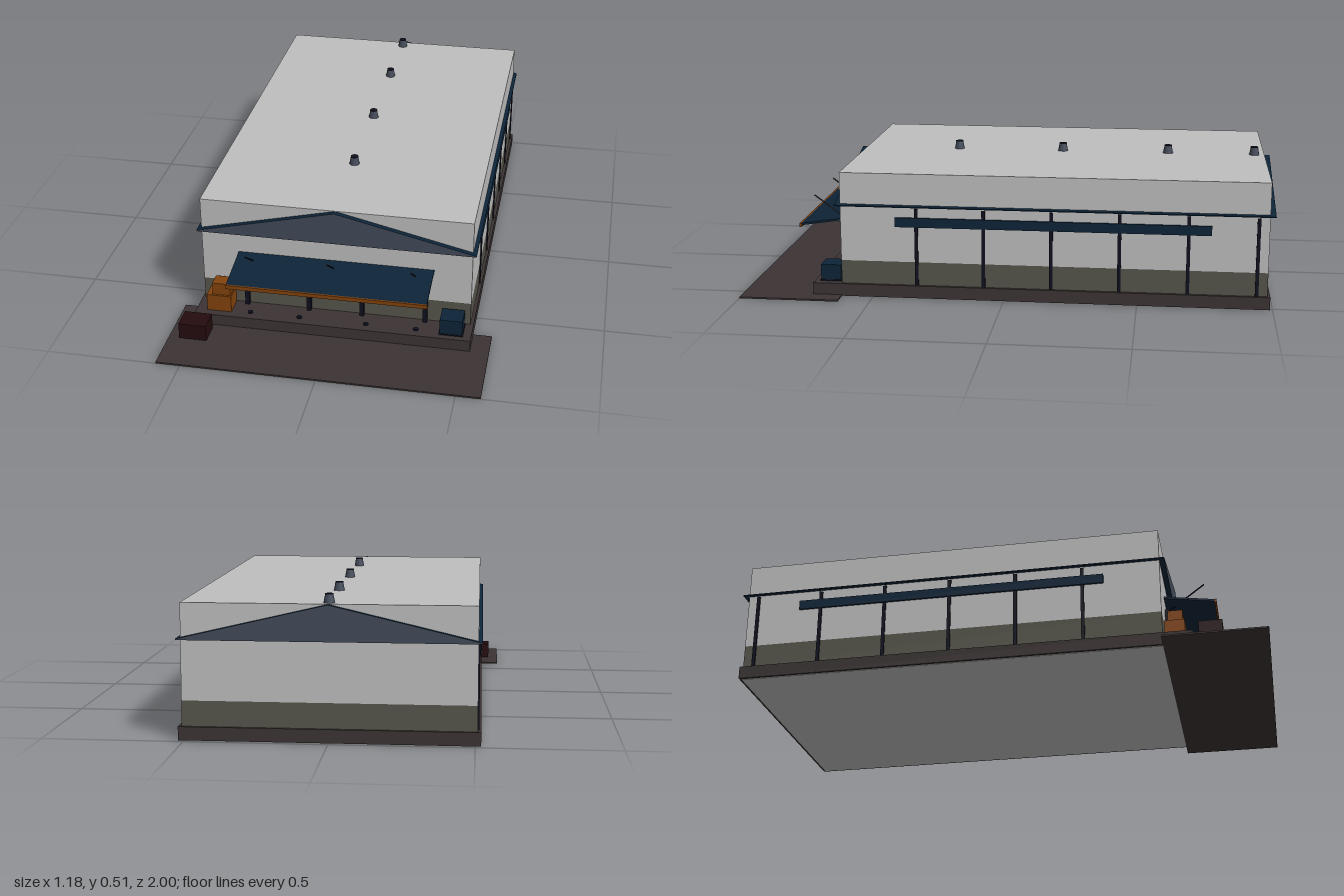
import * as THREE from 'three';

const mat = (name, color) => {
  const m = new THREE.MeshStandardMaterial({ color });
  m.name = name;
  return m;
};

export function createModel() {
  const group = new THREE.Group();
  const grey = mat('wall grey', 0xbfbfbf);
  const olive = mat('lower wall olive', 0x57564c);
  const slate = mat('slate', 0x434b59);
  const navy = mat('navy', 0x0d2438);
  const frame = mat('frame dark', 0x10101f);
  const orange = mat('orange', 0x82430d);
  const maroon = mat('maroon', 0x240c0e);
  const concrete = mat('concrete', 0x3c3434);

  const add = (name, geometry, material) => {
    const mesh = new THREE.Mesh(geometry, material);
    mesh.name = name;
    group.add(mesh);
    return mesh;
  };
  // Box given by its extents on each axis
  const box = (name, material, [x0, x1], [y0, y1], [z0, z1]) => {
    const mesh = add(name, new THREE.BoxGeometry(x1 - x0, y1 - y0, z1 - z0), material);
    mesh.position.set((x0 + x1) / 2, (y0 + y1) / 2, (z0 + z1) / 2);
    return mesh;
  };

  // Ground, plinth and walls
  box('forecourt', concrete, [-0.59, 0.59], [0, 0.006], [0.62, 1]);
  box('plinth', concrete, [-0.52, 0.52], [0.002, 0.05], [-0.99, 0.73]);
  box('floorUnderside', grey, [-0.51, 0.51], [0, 0.004], [-0.98, 0.62]);
  box('lowerWall', olive, [-0.508, 0.508], [0.05, 0.14], [-0.98, 0.62]);
  box('upperWall', grey, [-0.508, 0.508], [0.14, 0.48], [-0.98, 0.62]);

  // Pitched roof: slate gables, navy rim and eaves
  const gable = new THREE.Shape([
    new THREE.Vector2(-0.522, 0.353),
    new THREE.Vector2(0.522, 0.353),
    new THREE.Vector2(0.522, 0.357),
    new THREE.Vector2(0, 0.4795),
    new THREE.Vector2(-0.522, 0.357),
  ]);
  const roof = new THREE.ExtrudeGeometry(gable, { depth: 1.64, bevelEnabled: false });
  add('gableRoof', roof, [slate, navy]).position.z = -1;

  // Ridge vents
  for (const z of [0.24, -0.18, -0.6, -0.94]) {
    add('ridgeVent', new THREE.CylinderGeometry(0.014, 0.02, 0.032, 12), slate)
      .position.set(0, 0.495, z);
    add('ventCap', new THREE.CylinderGeometry(0.015, 0.015, 0.003, 12), frame)
      .position.set(0, 0.5105, z);
  }

  // Side posts and window strips
  for (const s of [-1, 1]) {
    const span = (a, b) => (s > 0 ? [a, b] : [-b, -a]);
    for (let i = 0; i < 6; i++) {
      const z = 0.33 - i * 0.254;
      box('sidePost', frame, span(0.5, 0.513), [0.05, 0.347], [z - 0.0065, z + 0.0065]);
    }
    box('windowStrip', navy, span(0.505, 0.516), [0.277, 0.313], [-0.77, 0.41]);
  }

  // Two half-raised shutters with frames and dock bumpers
  for (const cx of [-0.22, 0.22]) {
    box('shutter', slate, [cx - 0.115, cx + 0.115], [0.11, 0.22], [0.615, 0.626]);
    for (const y of [0.14, 0.167, 0.205]) {
      box('shutterGroove', frame, [cx - 0.113, cx + 0.113], [y - 0.002, y + 0.002], [0.622, 0.628]);
    }
    for (const s of [-1, 1]) {
      const x = cx + s * 0.119;
      box('doorPost', frame, [x - 0.008, x + 0.008], [0.05, 0.228], [0.615, 0.638]);
      add('dockStud', new THREE.CylinderGeometry(0.01, 0.01, 0.005, 10), frame)
        .position.set(cx + s * 0.094, 0.052, 0.69);
    }
    box('doorLintel', frame, [cx - 0.127, cx + 0.127], [0.21, 0.228], [0.615, 0.638]);
  }

  // Front canopy, sloping down to an orange fascia
  const canopy = box('canopy', navy, [-0.368, 0.368], [0.249, 0.257], [0.62, 0.812]);
  canopy.rotation.x = 0.15;
  box('canopyFascia', orange, [-0.37, 0.37], [0.228, 0.243], [0.809, 0.816]);

  // Canopy stay rods
  const rodLength = Math.hypot(0.15, 0.11);
  for (const x of [-0.303, 0, 0.303]) {
    const rod = add('stayRod', new THREE.CylinderGeometry(0.003, 0.003, rodLength, 6), frame);
    rod.position.set(x, 0.287, 0.695);
    rod.rotation.x = Math.atan2(0.15, 0.11);
  }

  // Crates
  box('largeOrangeCrate', orange, [-0.478, -0.385], [0.05, 0.117], [0.625, 0.7]);
  box('smallOrangeCrate', orange, [-0.457, -0.389], [0.117, 0.165], [0.637, 0.692]);
  box('blueCrate', navy, [0.403, 0.487], [0.055, 0.114], [0.628, 0.706]);
  box('blueCratePallet', frame, [0.4, 0.49], [0.05, 0.055], [0.626, 0.708]);
  box('darkCrate', maroon, [-0.55, -0.446], [0.006, 0.068], [0.752, 0.838]);

  return group;
}
